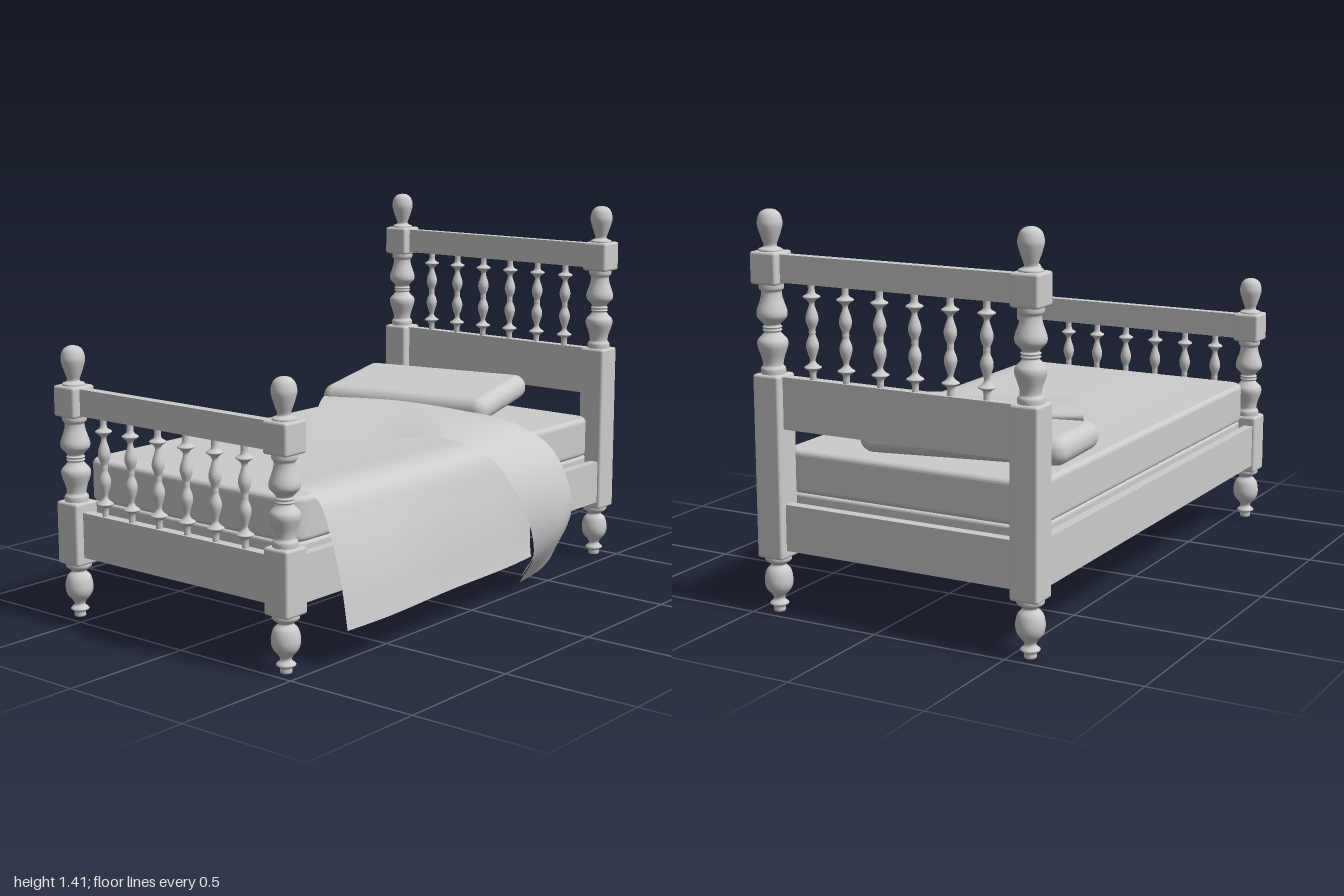
import * as THREE from 'three';
import { RoundedBoxGeometry } from 'three/addons/geometries/RoundedBoxGeometry.js';
import { ParametricGeometry } from 'three/addons/geometries/ParametricGeometry.js';

const V2 = (p) => new THREE.Vector2(p[0], p[1]);
const V3 = (p) => new THREE.Vector3(p[0], p[1], p[2]);

// Turned profiles as [radius, height]
const FOOT = [[0, 0], [0.02, 0.002], [0.021, 0.02], [0.034, 0.03], [0.02, 0.045], [0.024, 0.06], [0.044, 0.085],
  [0.05, 0.115], [0.043, 0.15], [0.027, 0.168], [0.03, 0.176], [0.046, 0.188], [0.046, 0.205]];
const FINIAL = [[0.04, 0], [0.04, 0.008], [0.026, 0.014], [0.022, 0.022], [0.03, 0.045], [0.041, 0.08],
  [0.043, 0.1], [0.036, 0.125], [0.02, 0.139], [0, 0.143]];
const HALF_VASE = [[0.03, 0], [0.034, 0.006], [0.028, 0.012], [0.037, 0.024], [0.05, 0.038], [0.053, 0.052], [0.05, 0.068],
  [0.039, 0.1], [0.035, 0.122], [0.037, 0.13], [0.043, 0.138], [0.043, 0.155]];
const HALF_SPINDLE = [[0.012, 0], [0.012, 0.012], [0.019, 0.03], [0.022, 0.046], [0.019, 0.064], [0.01, 0.092],
  [0.011, 0.104], [0.02, 0.114], [0.029, 0.12], [0.028, 0.125], [0.013, 0.136], [0.012, 0.164]];
const mirrored = (half) => [...half.slice(1).reverse().map(([r, y]) => [r, -y]), ...half];

export function createModel() {
  const bed = new THREE.Group();
  bed.name = 'bed';
  const mat = new THREE.MeshStandardMaterial({ color: 0xcccccc });
  const cloth = new THREE.MeshStandardMaterial({ color: 0xcccccc, side: THREE.DoubleSide });

  function add(parent, name, geometry, x = 0, y = 0, z = 0, material = mat) {
    const mesh = new THREE.Mesh(geometry, material);
    mesh.name = name;
    mesh.position.set(x, y, z);
    parent.add(mesh);
    return mesh;
  }
  const turned = (points, segments = 24) =>
    new THREE.LatheGeometry(new THREE.SplineCurve(points.map(V2)).getPoints(points.length * 3), segments);

  // Box given by its limits, optionally with softened edges
  function block(parent, name, [x0, x1], [y0, y1], [z0, z1], r = 0) {
    const size = [x1 - x0, y1 - y0, z1 - z0];
    const geo = r ? new RoundedBoxGeometry(...size, 2, r) : new THREE.BoxGeometry(...size);
    return add(parent, name, geo, (x0 + x1) / 2, (y0 + y1) / 2, (z0 + z1) / 2);
  }

  // Flat cushion with rounded corners in plan and soft upper and lower edges
  function slab(name, [x0, x1], [y0, y1], [z0, z1], corner, bevel) {
    const w = (x1 - x0) / 2 - bevel, d = (z1 - z0) / 2 - bevel, s = new THREE.Shape();
    s.absarc(w - corner, d - corner, corner, 0, Math.PI / 2);
    s.absarc(corner - w, d - corner, corner, Math.PI / 2, Math.PI);
    s.absarc(corner - w, corner - d, corner, Math.PI, Math.PI * 1.5);
    s.absarc(w - corner, corner - d, corner, Math.PI * 1.5, Math.PI * 2);
    const geo = new THREE.ExtrudeGeometry(s, { depth: y1 - y0 - 2 * bevel, bevelSize: bevel,
      bevelThickness: bevel, bevelSegments: 4, curveSegments: 8 });
    geo.rotateX(-Math.PI / 2);
    return add(bed, name, geo, (x0 + x1) / 2, y0 + bevel, (z0 + z1) / 2);
  }

  const footGeo = turned(FOOT), finialGeo = turned(FINIAL), vaseGeo = turned(mirrored(HALF_VASE));
  const spindleGeo = turned(mirrored(HALF_SPINDLE), 16);

  // End board: two posts, rails and a row of spindles
  function endBoard(name, xs, z, squareTop, rails) {
    const board = new THREE.Group();
    board.name = name;
    const h = 0.052, zr = Math.sign(z) * 0.949;
    for (const x of xs) {
      const post = new THREE.Group();
      post.name = 'post';
      board.add(post);
      const across = [x - h, x + h], deep = [z - h, z + h];
      add(post, 'turnedFoot', footGeo, x, 0, z);
      block(post, 'squarePost', across, [0.2, squareTop], deep, 0.01);
      add(post, 'turnedVase', vaseGeo, x, squareTop + 0.155, z);
      block(post, 'topBlock', across, [squareTop + 0.308, squareTop + 0.42], deep, 0.01);
      add(post, 'finial', finialGeo, x, squareTop + 0.418, z);
    }
    for (const r of rails) block(board, 'crossRail', xs, r, [zr - 0.019, zr + 0.019]);
    const low = rails[1][1], high = rails[0][0];
    for (let i = 0; i < 6; i++) {
      const s = add(board, 'spindle', spindleGeo, -0.41 + i * 0.134, (low + high) / 2, zr);
      s.scale.y = (high - low) / 0.328;
    }
    bed.add(board);
  }
  endBoard('headboard', [-0.567, 0.425], -0.946, 0.848, [[1.165, 1.26], [0.66, 0.842], [0.23, 0.395]]);
  endBoard('footboard', [-0.559, 0.435], 0.948, 0.43, [[0.745, 0.842], [0.23, 0.395]]);

  // Side rails, inner ledges and slats
  for (const [x, inner] of [[-0.583, -0.55], [0.448, 0.415]]) {
    block(bed, 'sideRail', [x - 0.018, x + 0.018], [0.23, 0.395], [-0.92, 0.92]);
    block(bed, 'ledge', [inner - 0.016, inner + 0.016], [0.235, 0.262], [-0.92, 0.92]);
  }
  for (let i = 0; i < 7; i++) {
    const z = -0.81 + i * 0.27;
    block(bed, 'slat', [-0.565, 0.43], [0.262, 0.295], [z - 0.06, z + 0.06]);
  }

  // Bedding
  slab('bedBase', [-0.563, 0.428], [0.295, 0.42], [-0.9, 0.89], 0.05, 0.01);
  slab('mattress', [-0.57, 0.43], [0.42, 0.574], [-0.903, 0.894], 0.05, 0.018);
  const pillow = new RoundedBoxGeometry(0.73, 0.1, 0.455, 6, 0.048);
  const head = add(bed, 'pillow', pillow, -0.217, 0.637, -0.65);
  head.rotation.set(0.09, 0.2, 0, 'YXZ');

  // Blanket lying on the mattress and hanging down on one side
  const drop = new THREE.CatmullRomCurve3([[-0.4, 0.576, 0], [-0.1, 0.582, 0], [0.2, 0.583, 0], [0.39, 0.582, 0],
    [0.455, 0.55, 0], [0.505, 0.44, 0], [0.548, 0.29, 0], [0.575, 0.135, 0]].map(V3));
  const blanketGeo = new ParametricGeometry((u, v, target) => {
    drop.getPoint(u, target);
    const hang = THREE.MathUtils.smoothstep(u, 0.5, 1);
    const end = THREE.MathUtils.lerp(-0.2, -0.42, Math.min(u / 0.6, 1)) + hang * 0.08;
    target.x += hang * (-0.05 * v * v + 0.006 * Math.sin(v * 9));
    target.z = THREE.MathUtils.lerp(0.8, end, v);
  }, 48, 32);
  add(bed, 'blanket', blanketGeo, 0, 0, 0, cloth);

  // Turned-back end of the blanket: outer layer, curled fold, then inner layer
  const foldEdge = new THREE.CatmullRomCurve3([[-0.4, 0.66, -0.235], [-0.13, 0.655, -0.36], [0.13, 0.635, -0.43],
    [0.36, 0.61, -0.465], [0.53, 0.53, -0.475], [0.6, 0.33, -0.51], [0.48, 0.11, -0.57]].map(V3));
  const freeEdge = new THREE.CatmullRomCurve3([[-0.113, 0.588, 0.205], [0.135, 0.6, 0.055], [0.36, 0.615, -0.03],
    [0.51, 0.56, -0.085], [0.6, 0.37, -0.175], [0.58, 0.17, -0.28], [0.45, 0.01, -0.38]].map(V3));
  const section = new THREE.SplineCurve([[1, 0], [0.75, 0.014], [0.5, 0.022], [0.25, 0.018], [0.06, 0.006], [-0.01, -0.015],
    [0.01, -0.04], [0.1, -0.054], [0.35, -0.04], [0.65, -0.02], [0.9, -0.012]].map(V2));
  const foldGeo = new ParametricGeometry((u, v, target) => {
    const s = section.getPoint(v), a = THREE.MathUtils.smoothstep(u, 0.4, 1) * 2;
    target.copy(foldEdge.getPoint(u)).lerp(freeEdge.getPoint(u), s.x);
    target.x += Math.sin(a) * s.y;
    target.y += Math.cos(a) * s.y;
  }, 40, 48);
  add(bed, 'blanketFold', foldGeo, 0, 0, 0, cloth);

  return bed;
}
